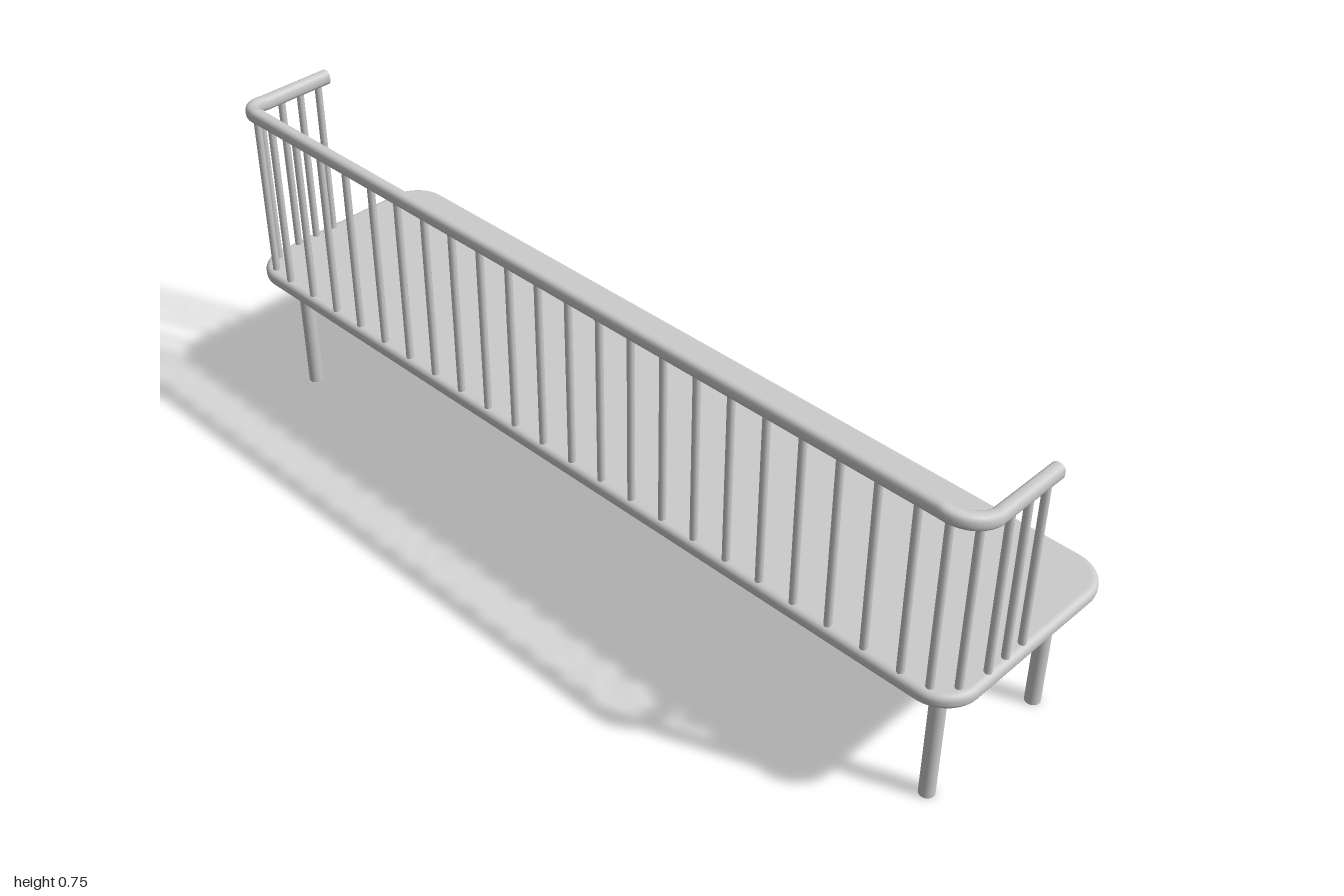
import * as THREE from 'three';
import { mergeVertices } from 'three/addons/utils/BufferGeometryUtils.js';

const material = new THREE.MeshStandardMaterial({ color: 0xcccccc });
const SEAT_TOP = 0.333, SEAT_BOTTOM = 0.3;

function addMesh(parent, geometry, name) {
  const mesh = new THREE.Mesh(geometry, material);
  mesh.name = name;
  parent.add(mesh);
  return mesh;
}

// Upright round bar between two heights
function addPost(parent, name, radius, x, z, y0, y1, sides) {
  const post = addMesh(parent, new THREE.CylinderGeometry(radius, radius, y1 - y0, sides), name);
  post.position.set(x, (y0 + y1) / 2, z);
}

// Seat slab with rounded corners and softened edges
function seatGeometry() {
  const bevel = 0.013, w = 1 - bevel, d = 0.25 - bevel, r = 0.08 - bevel;
  const shape = new THREE.Shape();
  shape.absarc(w - r, d - r, r, 0, Math.PI / 2);
  shape.absarc(-w + r, d - r, r, Math.PI / 2, Math.PI);
  shape.absarc(-w + r, -d + r, r, Math.PI, Math.PI * 1.5);
  shape.absarc(w - r, -d + r, r, Math.PI * 1.5, Math.PI * 2);
  const geo = new THREE.ExtrudeGeometry(shape, {
    depth: SEAT_TOP - SEAT_BOTTOM - 2 * bevel, bevelThickness: bevel, bevelSize: bevel,
    bevelSegments: 5, curveSegments: 10,
  });
  geo.rotateX(-Math.PI / 2).translate(0, SEAT_BOTTOM + bevel, 0);
  geo.deleteAttribute('uv');
  geo.deleteAttribute('normal');
  const smooth = mergeVertices(geo, 1e-4);
  smooth.computeVertexNormals();
  return smooth;
}

// Centre line of the rail: low arms, rising round the corners to the back
function railPath() {
  const cx = 0.92, cz = 0.17, steps = 10;
  const low = 0.7165, rise = 0.017;
  const half = [{ x: 0.986, y: low, z: 0, a: 0 }];
  for (let i = 0; i <= steps; i++) {
    const t = i / steps, a = t * Math.PI / 2;
    half.push({
      x: cx + 0.066 * Math.cos(a), y: low + rise * t, z: cz + 0.0645 * Math.sin(a), a,
    });
  }
  const mirrored = half.map(p => ({ ...p, x: -p.x, a: Math.PI - p.a })).reverse();
  return half.concat(mirrored);
}

// Sweep a softly squared section along the rail path
function railGeometry() {
  const path = railPath(), sides = 20, pos = [], index = [];
  const soft = v => Math.sign(v) * Math.pow(Math.abs(v), 0.8);
  const ring = p => {
    for (let j = 0; j < sides; j++) {
      const s = (j / sides) * Math.PI * 2;
      const out = 0.0145 * soft(Math.cos(s)), up = 0.0165 * soft(Math.sin(s));
      pos.push(p.x + Math.cos(p.a) * out, p.y + up, p.z + Math.sin(p.a) * out);
    }
  };
  path.forEach(ring);
  for (let i = 0; i < path.length - 1; i++) {
    for (let j = 0; j < sides; j++) {
      const k = (j + 1) % sides;
      const a = i * sides + j, b = i * sides + k, c = a + sides, d = b + sides;
      index.push(a, b, c, b, d, c);
    }
  }
  // Flat end caps with their own vertices
  [path[0], path[path.length - 1]].forEach((p, e) => {
    const start = pos.length / 3;
    ring(p);
    for (let j = 1; j < sides - 1; j++) {
      // The mirrored ring runs the other way, so both caps share one order
      index.push(start, start + j + 1, start + j);
      if (e === 1) index.splice(-3, 3, start, start + j, start + j + 1);
    }
  });
  const geo = new THREE.BufferGeometry();
  geo.setAttribute('position', new THREE.Float32BufferAttribute(pos, 3));
  geo.setIndex(index);
  geo.computeVertexNormals();
  return geo;
}

export function createModel() {
  const bench = new THREE.Group();
  bench.name = 'bench';
  addMesh(bench, seatGeometry(), 'seat');
  addMesh(bench, railGeometry(), 'rail');

  // Four legs
  const legs = new THREE.Group();
  legs.name = 'legs';
  for (const x of [-0.918, 0.918])
    for (const z of [-0.166, 0.168]) addPost(legs, 'leg', 0.0165, x, z, 0, SEAT_BOTTOM + 0.005, 20);
  bench.add(legs);

  // Spindles along the back, round the corners and along the arms
  const spindles = new THREE.Group();
  spindles.name = 'spindles';
  const sideSpots = [[0.935, 0.228], [0.972, 0.193], [0.985, 0.127], [0.985, 0.076], [0.985, 0.026]];
  for (const side of [-1, 1]) {
    for (let i = 0; i < 11; i++)
      addPost(spindles, 'backSpindle', 0.008, side * (0.0417 + i * 0.0833), 0.234, SEAT_TOP - 0.01, 0.728, 12);
    for (const [x, z] of sideSpots)
      addPost(spindles, 'sideSpindle', 0.008, side * x, z, SEAT_TOP - 0.01, 0.712, 12);
  }
  bench.add(spindles);
  return bench;
}
